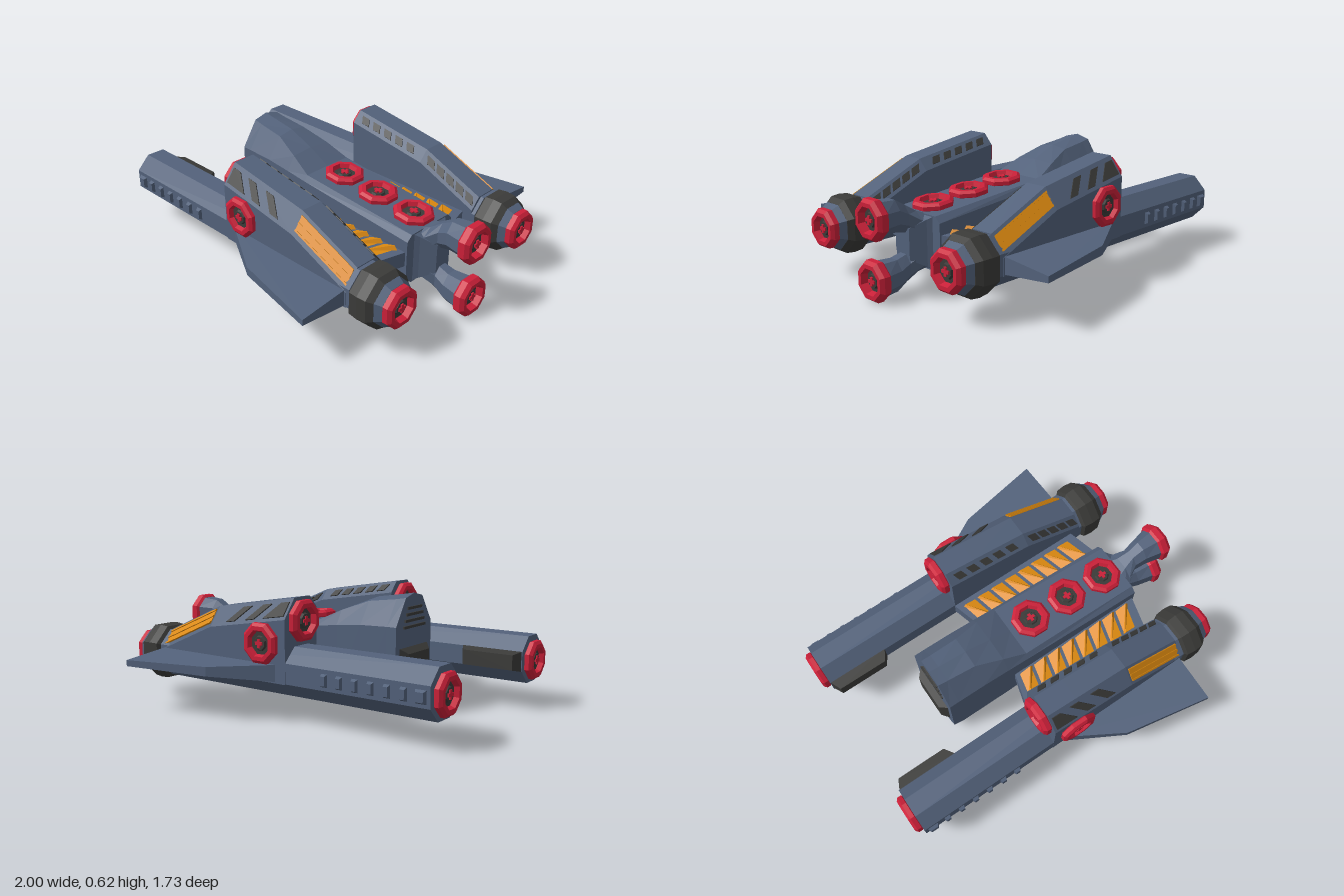
import * as THREE from 'three';

const paint = (color) => new THREE.MeshStandardMaterial({ color, flatShading: true, side: THREE.DoubleSide });
const V = (x, y, z) => new THREE.Vector3(x, y, z);

export function createModel() {
  const model = new THREE.Group();
  const slate = paint(0x53627b), dark = paint(0x3b3b39), red = paint(0xcc2039), orange = paint(0xdd8a10);

  const add = (name, geometry, material, parent = model) => {
    const mesh = new THREE.Mesh(geometry, material);
    mesh.name = name;
    parent.add(mesh);
    return mesh;
  };

  // Skin a row of convex loops, cap both ends and turn the faces outward
  const loft = (loops) => {
    const tris = [], n = loops[0].length;
    for (let i = 0; i + 1 < loops.length; i++) {
      for (let j = 0; j < n; j++) {
        const k = (j + 1) % n, a = loops[i], b = loops[i + 1];
        tris.push([a[j], a[k], b[k]], [a[j], b[k], b[j]]);
      }
    }
    const first = loops[0], last = loops[loops.length - 1];
    for (let j = 1; j + 1 < n; j++) {
      tris.push([first[0], first[j + 1], first[j]], [last[0], last[j], last[j + 1]]);
    }
    let volume = 0;
    const o = first[0];
    for (const [a, b, c] of tris) {
      volume += a.clone().sub(o).dot(b.clone().sub(o).cross(c.clone().sub(o)));
    }
    if (volume < 0) tris.forEach((t) => t.reverse());
    const geometry = new THREE.BufferGeometry().setFromPoints(tris.flat());
    geometry.computeVertexNormals();
    return geometry;
  };

  // Thin slab on a four-cornered patch
  const plate = (p, h) => {
    const n = p[1].clone().sub(p[0]).cross(p[3].clone().sub(p[0])).normalize().multiplyScalar(h);
    return loft([p.map((q) => q.clone().sub(n)), p.map((q) => q.clone().add(n))]);
  };

  const octagon = (x, cy, cz, ry, rz = ry) => Array.from({ length: 8 }, (_, i) => {
    const a = Math.PI / 8 + i * Math.PI / 4, k = 1 / Math.cos(Math.PI / 8);
    return V(x, cy + Math.sin(a) * ry * k, cz + Math.cos(a) * rz * k);
  });

  const lathe = (points) => new THREE.LatheGeometry(points.map((p) => new THREE.Vector2(...p)), 8, Math.PI / 8);
  const box = (w, h, d, x, y, z) => new THREE.BoxGeometry(w, h, d).translate(x, y, z);

  // Octagonal port: red rim, dark dish and a small cross
  const port = (name, pos, dir, h = 0.04) => {
    const g = new THREE.Group();
    g.name = name;
    add('rim', lathe([[0.095, 0], [0.108, h * 0.2], [0.108, h * 0.7], [0.092, h], [0.07, h], [0.06, h * 0.45]]), red, g);
    add('dish', lathe([[0.064, h * 0.45], [0.04, h * 0.45], [0.034, h * 0.7], [0, h * 0.7]]), dark, g);
    add('crossBar', box(0.045, 0.01, 0.016, 0, h * 0.75, 0), red, g);
    add('crossBar', box(0.016, 0.01, 0.045, 0, h * 0.75, 0), red, g);
    g.position.copy(pos);
    g.quaternion.setFromUnitVectors(V(0, 1, 0), dir.clone().normalize());
    model.add(g);
  };

  // Central hull: x, bottom, shoulder height, roof half width, roof edge, ridge
  const hull = [
    [-0.515, 0.06, 0.46, 0.08, 0.6, 0.62],
    [-0.46, 0.03, 0.46, 0.082, 0.59, 0.61],
    [-0.3, 0.03, 0.455, 0.09, 0.57, 0.585],
    [-0.15, 0.03, 0.44, 0.125, 0.515, 0.525],
    [-0.02, 0.042, 0.425, 0.15, 0.455, 0.457],
    [0.7, 0.11, 0.36, 0.14, 0.39, 0.391],
  ].map(([x, b, s, w, t, r]) => [
    V(x, b, -0.13), V(x, b, 0.13), V(x, b + 0.045, 0.172), V(x, s, 0.172), V(x, t, w),
    V(x, r, 0), V(x, t, -w), V(x, s, -0.172), V(x, b + 0.045, -0.172),
  ]);
  add('hull', loft(hull), slate);
  const rect = (x, y0, y1, w) => [V(x, y0, -w), V(x, y0, w), V(x, y1, w), V(x, y1, -w)];
  add('noseHatch', loft([rect(-0.51, 0.14, 0.35, 0.14), rect(-0.55, 0.17, 0.32, 0.1)]), dark);
  for (let i = 0; i < 4; i++) {
    add('noseGrille', box(0.012, 0.014, 0.21 - i * 0.025, -0.517, 0.45 + i * 0.032, 0), dark);
  }
  add('bellyPanel', box(0.24, 0.01, 0.18, -0.31, 0.029, 0), slate);
  add('tailBlock', loft([rect(0.69, 0.11, 0.39, 0.13), rect(0.72, 0.13, 0.37, 0.1), rect(0.79, 0.17, 0.33, 0.05)]), slate);

  // Ports along the deck and the belly
  for (let i = 0; i < 3; i++) {
    port('deckPort', V(0.11 + i * 0.24, 0.44 - i * 0.022, 0), V(0.09, 1, 0));
    port('bellyPort', V(0.055 + i * 0.24, 0.053 + i * 0.023, 0), V(0.09, -1, 0), 0.033);
  }

  // Twin tail engines, one above the other
  for (const u of [1, -1]) {
    const ring = (x, dy, ry, rz) => octagon(x, 0.25 + u * dy, 0, ry, rz);
    add('tailEngine', loft([ring(0.69, 0.07, 0.07, 0.12), ring(0.73, 0.085, 0.07, 0.085), ring(0.79, 0.125, 0.07, 0.055),
      ring(0.85, 0.15, 0.08, 0.065), ring(0.945, 0.152, 0.085, 0.085)]), slate);
    port('tailNozzle', V(0.935, 0.25 + u * 0.152, 0), V(1, 0, 0), 0.065);
  }

  // Roof line of the side housings
  const roof = [[-0.155, 0.62], [0.02, 0.592], [0.34, 0.54], [0.7, 0.385]];
  const roofAt = (x) => {
    const i = x < 0.02 ? 0 : x < 0.34 ? 1 : 2;
    const [x0, y0] = roof[i], [x1, y1] = roof[i + 1];
    return y0 + (y1 - y0) * (x - x0) / (x1 - x0);
  };

  for (const s of [1, -1]) {
    const P = (x, y, z) => V(x, y, z * s);

    // Long barrel with nose port, ribs and inner pod
    add('barrel', loft([octagon(-0.96, 0.255, 0.475 * s, 0.125), octagon(0.72, 0.255, 0.475 * s, 0.125)]), slate);
    port('barrelNose', P(-0.955, 0.25, 0.475), V(-1, 0, 0), 0.045);
    for (let i = 0; i < 7; i++) {
      const x = -0.912 + i * 0.087, w = i ? 0.035 : 0.06;
      add('barrelRib', loft([
        [P(x - w / 2, 0.22, 0.598), P(x + w / 2, 0.22, 0.598), P(x + w / 2, 0.286, 0.598), P(x - w / 2, 0.286, 0.598)],
        [P(x - w / 3, 0.23, 0.617), P(x + w / 3, 0.23, 0.617), P(x + w / 3, 0.276, 0.617), P(x - w / 3, 0.276, 0.617)],
      ]), slate);
    }
    add('innerPod', loft([
      [P(-0.96, 0.2, 0.36), P(-0.61, 0.2, 0.36), P(-0.61, 0.31, 0.36), P(-0.96, 0.31, 0.36)],
      [P(-0.93, 0.215, 0.295), P(-0.65, 0.215, 0.295), P(-0.65, 0.295, 0.295), P(-0.93, 0.295, 0.295)],
    ]), dark);

    // Housing above the barrel
    add('housing', loft(roof.map(([x, y]) => [
      P(x, 0.2, 0.35), P(x, y - 0.06, 0.35), P(x, y, 0.405), P(x, y, 0.525), P(x, y - 0.1, 0.602), P(x, 0.2, 0.602),
    ])), slate);
    port('housingNose', P(-0.15, 0.505, 0.475), V(-1, 0, 0), 0.05);
    port('sidePort', P(-0.015, 0.395, 0.6), V(0, 0, s));

    // Vents and glowing panel on the sloped shoulders
    const outer = (x, t) => P(x, roofAt(x) - 0.1 * t, 0.525 + 0.077 * t);
    const inner = (x, t) => P(x, roofAt(x) - 0.06 * t, 0.405 - 0.055 * t);
    for (const [x, w] of [[-0.14, 0.05], [-0.03, 0.055], [0.1, 0.055]]) {
      add('shoulderVent', plate([outer(x, 0.2), outer(x + w, 0.2), outer(x + w + 0.08, 0.85), outer(x + (x < -0.1 ? 0 : 0.08), 0.85)], 0.006), dark);
    }
    const glow = (x0, x1, t0, t1, h) => plate([outer(x0, t0), outer(x1, t0), outer(x1, t1), outer(x0, t1)], h);
    add('glowPanel', glow(0.35, 0.69, 0.14, 0.8, 0.004), orange);
    for (const t of [0.14, 0.43, 0.72]) add('glowBar', glow(0.35, 0.69, t, t + 0.08, 0.009), orange);
    for (const x0 of [-0.12, 0.36]) {
      for (let i = 0; i < 5; i++) {
        const x = x0 + i * (x0 < 0 ? 0.083 : 0.066);
        add('innerVent', plate([inner(x, 0.25), inner(x + 0.05, 0.25), inner(x + 0.07, 0.75), inner(x + 0.02, 0.75)], 0.006), dark);
      }
    }

    // Tapered outer fin
    const fin = (h, pts) => pts.map(([x, z, k]) => P(x, 0.25 + h * k, z));
    const outline = [[-0.13, 0.58, 0.045], [0.21, 0.775, 0.024], [0.69, 0.865, 0.016], [0.69, 0.58, 0.045]];
    add('fin', loft([fin(-1, outline), fin(1, outline)]), slate);

    // Wing bridge to the hull, ridged panel above and vents beneath
    const bridge = (y) => [P(-0.1, y, 0.15), P(0.695, y, 0.15), P(0.64, y, 0.36), P(-0.16, y, 0.36)];
    add('bridge', loft([bridge(0.22), bridge(0.3)]), slate);
    const at = (u, y, z) => {
      const t = (z - 0.185) / 0.135;
      return P(-0.09 - 0.03 * t + u * (0.74 - 0.01 * t), y, z);
    };
    for (let i = 0; i < 8; i++) {
      const a = i / 8, b = (i + 1) / 8;
      add('bridgeRidge', loft([
        [at(a, 0.298, 0.185), at(b, 0.298, 0.185), at(a + 0.1, 0.322, 0.185)],
        [at(a, 0.298, 0.32), at(b, 0.298, 0.32), at(a + 0.02, 0.31, 0.32)],
      ]), orange);
    }
    for (let i = 0; i < 6; i++) {
      const a = i / 6, b = a + 0.14;
      add('underVent', plate([at(a, 0.218, 0.19), at(b, 0.218, 0.19), at(b, 0.218, 0.32), at(a, 0.218, 0.32)], 0.006), dark);
    }

    // Barrel engine collar, cone and nozzle
    const ring = (x, r) => octagon(x, 0.253, 0.475 * s, r);
    add('collar', loft([ring(0.715, 0.115), ring(0.735, 0.142), ring(0.785, 0.147), ring(0.835, 0.142), ring(0.865, 0.12)]), dark);
    add('engineCone', loft([ring(0.86, 0.122), ring(0.9, 0.1)]), slate);
    port('engineNozzle', P(0.888, 0.252, 0.475), V(1, 0, 0), 0.057);
  }
  return model;
}
